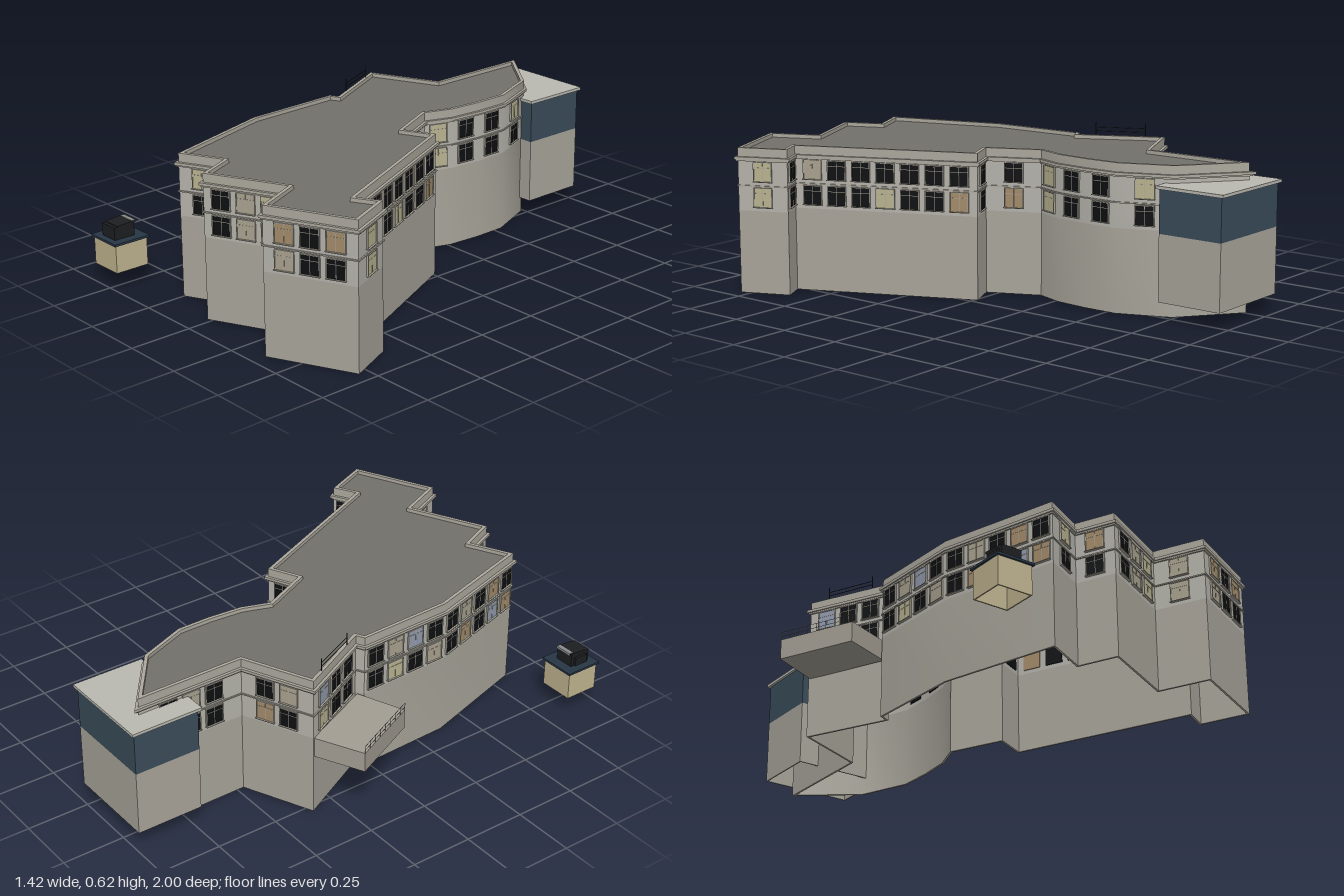
import * as THREE from 'three';
import { mergeGeometries, toCreasedNormals } from 'three/addons/utils/BufferGeometryUtils.js';

// Cornice footprint as [x, z], clockwise seen from above
const OUTLINE = [
  [-0.268, -0.936], [-0.016, -0.744], [0.067, -0.54], [0.069, -0.4], [0.058, -0.26],
  [0.021, -0.153], [0.108, 0.03], [0.228, -0.026], [0.53, 0.638], [0.62, 0.59],
  [0.711, 0.795], [0.365, 0.956], [0.28, 0.77], [-0.025, 0.915], [-0.09, 0.77],
  [-0.258, 0.853], [-0.402, 0.376], [-0.418, -0.03], [-0.388, -0.045], [-0.545, -0.355],
  [-0.265, -0.479],
];
const CORNICE = 0.011;

// Window tints per wall (index of the wall's first corner): [upper row, lower row]
const WINDOWS = {
  1: ['y', 'k'], 2: ['k', 'k'], 3: ['k', 'k'], 4: ['y', 'y'], 5: ['k', 'o'], 6: ['k', 'k'],
  7: ['kkkkkkc', 'okkykkk'], 8: ['k', 'k'], 9: ['y', 'y'], 10: ['oko', 'kkc'],
  11: ['c', 'c'], 12: ['yck', 'yck'], 13: ['o', 'k'], 14: ['y', 'k'],
  15: ['kokck', 'obkok'], 16: ['kbck', 'ckyk'], 18: ['kkb', 'kky'], 19: ['ck', 'ko'],
  20: ['kck', 'kkc'],
};

const mat = (color) => new THREE.MeshStandardMaterial({ color });
const MAT = {
  wall: mat(0xa9a59b), upper: mat(0xb5b3ab), trim: mat(0xaca89d), roof: mat(0x72706b),
  lightRoof: mat(0xbab9b1), blue: mat(0x3a4c5a), dark: mat(0x1c1e20), canopy: mat(0xa39e93),
  sand: mat(0xc0b490), frame: mat(0xaaa699), grey: mat(0x8a8a8a), navy: mat(0x273646),
};
const PANE = {
  k: mat(0x0e0f11), c: mat(0xaaa28f), o: mat(0xa38b6a), y: mat(0xbab490), b: mat(0x929cb0),
};

function mesh(name, geometry, material, parent, x = 0, y = 0, z = 0) {
  const m = new THREE.Mesh(geometry, material);
  m.name = name;
  m.position.set(x, y, z);
  parent.add(m);
  return m;
}
const box = (w, h, d, x = 0, y = 0, z = 0) => new THREE.BoxGeometry(w, h, d).translate(x, y, z);

// Outward unit normal of the edge leaving corner i
function normal(i) {
  const n = OUTLINE.length, a = OUTLINE[(i + n) % n], b = OUTLINE[(i + 1) % n];
  return new THREE.Vector2(b[1] - a[1], a[0] - b[0]).normalize();
}

// Footprint moved outward from the wall face by d, as shape points (x, -z)
function footprint(d) {
  return OUTLINE.map(([x, z], i) => {
    const p = normal(i - 1), q = normal(i), s = (d - CORNICE) / (1 + p.dot(q));
    return new THREE.Vector2(x + (p.x + q.x) * s, -(z + (p.y + q.y) * s));
  });
}

// Vertical prism between two heights; the hole runs against the clockwise outline
function prism(outer, hole, y0, y1) {
  const shape = new THREE.Shape(outer);
  if (hole) shape.holes.push(new THREE.Path(hole.reverse()));
  const g = new THREE.ExtrudeGeometry(shape, { depth: y1 - y0, bevelEnabled: false });
  return g.rotateX(-Math.PI / 2).translate(0, y0, 0);
}
const band = (outer, inner, y0, y1) =>
  toCreasedNormals(prism(footprint(outer), footprint(inner), y0, y1), 0.56);

// Rectangular walls, open above and below
function tube(w, d, y0, y1) {
  const rect = (a, b) => [[-a, -b], [-a, b], [a, b], [a, -b]].map((p) => new THREE.Vector2(...p));
  return prism(rect(w / 2, d / 2), rect(w / 2 - 0.005, d / 2 - 0.005), y0, y1);
}

// Thin round bar between two points
function bar(a, b, r) {
  const p = new THREE.Vector3(...a), q = new THREE.Vector3(...b);
  return new THREE.TubeGeometry(new THREE.LineCurve3(p, q), 1, r, 6);
}

function addWindows(parent) {
  const w = 0.072, h = 0.076, t = 0.003;
  const frame = mergeGeometries([
    box(w, t, 0.008, 0, h / 2, 0.003), box(w + 0.006, t, 0.012, 0, -h / 2, 0.005),
    box(t, h, 0.008, -w / 2, 0, 0.003), box(t, h, 0.008, w / 2, 0, 0.003),
    box(0.002, h, 0.006, 0, 0, 0.002), box(w, 0.002, 0.006, 0, h * 0.22, 0.002),
  ]);
  const pane = box(w, h, 0.016, 0, 0, -0.004);
  const base = footprint(0);
  for (const [key, rows] of Object.entries(WINDOWS)) {
    const i = Number(key), a = base[i], b = base[(i + 1) % base.length], n = normal(i);
    const len = a.distanceTo(b);
    rows.forEach((tints, row) => [...tints].forEach((tint, k) => {
      const pitch = Math.min(len / tints.length, 0.098);
      const p = a.clone().lerp(b, 0.5 + ((k - (tints.length - 1) / 2) * pitch) / len);
      const g = new THREE.Group();
      g.name = 'window';
      g.position.set(p.x, row === 0 ? 0.478 : 0.378, -p.y);
      g.rotation.y = Math.atan2(n.x, n.y);
      g.scale.x = Math.min(1, (len * 0.72) / w);
      mesh('windowPane', pane, PANE[tint], g);
      mesh('windowFrame', frame, MAT.frame, g);
      parent.add(g);
    }));
  }
}

export function createModel() {
  const model = new THREE.Group();
  model.name = 'building';

  // Main block: hollow walls, open underneath
  mesh('lowerWalls', band(0, -0.008, 0, 0.325), MAT.wall, model);
  mesh('upperWalls', band(0, -0.008, 0.325, 0.525), MAT.upper, model);
  mesh('floorLedge', band(0.005, -0.004, 0.42, 0.425), MAT.trim, model);
  mesh('corniceMoulding', band(0.006, -0.004, 0.519, 0.525), MAT.trim, model);
  mesh('cornice', band(CORNICE, -0.012, 0.525, 0.536), MAT.trim, model);
  mesh('parapet', band(0, -0.014, 0.536, 0.57), MAT.trim, model);
  mesh('roof', prism(footprint(-0.01), null, 0.545, 0.555), MAT.roof, model);
  addWindows(model);

  // Rear annex with a blue upper storey, open underneath
  const annex = new THREE.Group();
  annex.name = 'rearAnnex';
  annex.position.set(-0.15, 0, -0.852);
  mesh('annexBase', tube(0.38, 0.268, 0.068, 0.325), MAT.wall, annex);
  mesh('annexUpper', tube(0.38, 0.268, 0.325, 0.492), MAT.blue, annex);
  mesh('annexRoof', box(0.4, 0.012, 0.29), MAT.lightRoof, annex, 0, 0.498);
  model.add(annex);

  // Side canopy with a railing on its outer edge
  const corners = [[-0.712, -0.255], [-0.525, -0.345], [-0.386, -0.04], [-0.577, 0.035]];
  const deck = corners.map(([x, z]) => new THREE.Vector2(x, -z));
  mesh('canopy', prism(deck, null, 0.242, 0.322), MAT.canopy, model);
  const rails = [], [r0, , , r1] = corners;
  const along = (t, y) => [r0[0] + (r1[0] - r0[0]) * t, y, r0[1] + (r1[1] - r0[1]) * t];
  for (let i = 0; i <= 8; i++) rails.push(bar(along(i / 8, 0.32), along(i / 8, 0.353), 0.001));
  for (const y of [0.336, 0.353]) rails.push(bar(along(0, y), along(1, y), 0.001));
  mesh('canopyRailing', mergeGeometries(rails), MAT.grey, model);

  // Rooftop sign frame: two posts and plain rails
  const sign = [
    bar([-0.404, 0.555, -0.105], [-0.404, 0.622, -0.105], 0.002),
    bar([-0.488, 0.555, -0.285], [-0.488, 0.622, -0.285], 0.002),
  ];
  for (const y of [0.587, 0.602]) sign.push(bar([-0.404, y, -0.105], [-0.488, y, -0.285], 0.0015));
  mesh('roofSignFrame', mergeGeometries(sign), MAT.dark, model);

  // Detached kiosk with a rooftop unit, open underneath
  const kiosk = new THREE.Group();
  kiosk.name = 'kiosk';
  kiosk.position.set(-0.533, 0, 0.919);
  mesh('kioskBase', tube(0.142, 0.142, 0.068, 0.18), MAT.sand, kiosk);
  mesh('kioskRoof', box(0.156, 0.009, 0.158), MAT.navy, kiosk, 0, 0.1835);
  mesh('unitBody', box(0.08, 0.05, 0.09), MAT.dark, kiosk, 0, 0.213, 0.008);
  mesh('unitSide', box(0.01, 0.034, 0.06), MAT.dark, kiosk, -0.045, 0.208, 0.008);
  const lid = mesh('unitTop', box(0.08, 0.008, 0.08), MAT.dark, kiosk, 0, 0.24, -0.002);
  lid.rotation.x = 0.08;
  mesh('unitStrip', box(0.074, 0.01, 0.018), MAT.grey, kiosk, 0.002, 0.243, -0.036);
  model.add(kiosk);

  return model;
}
